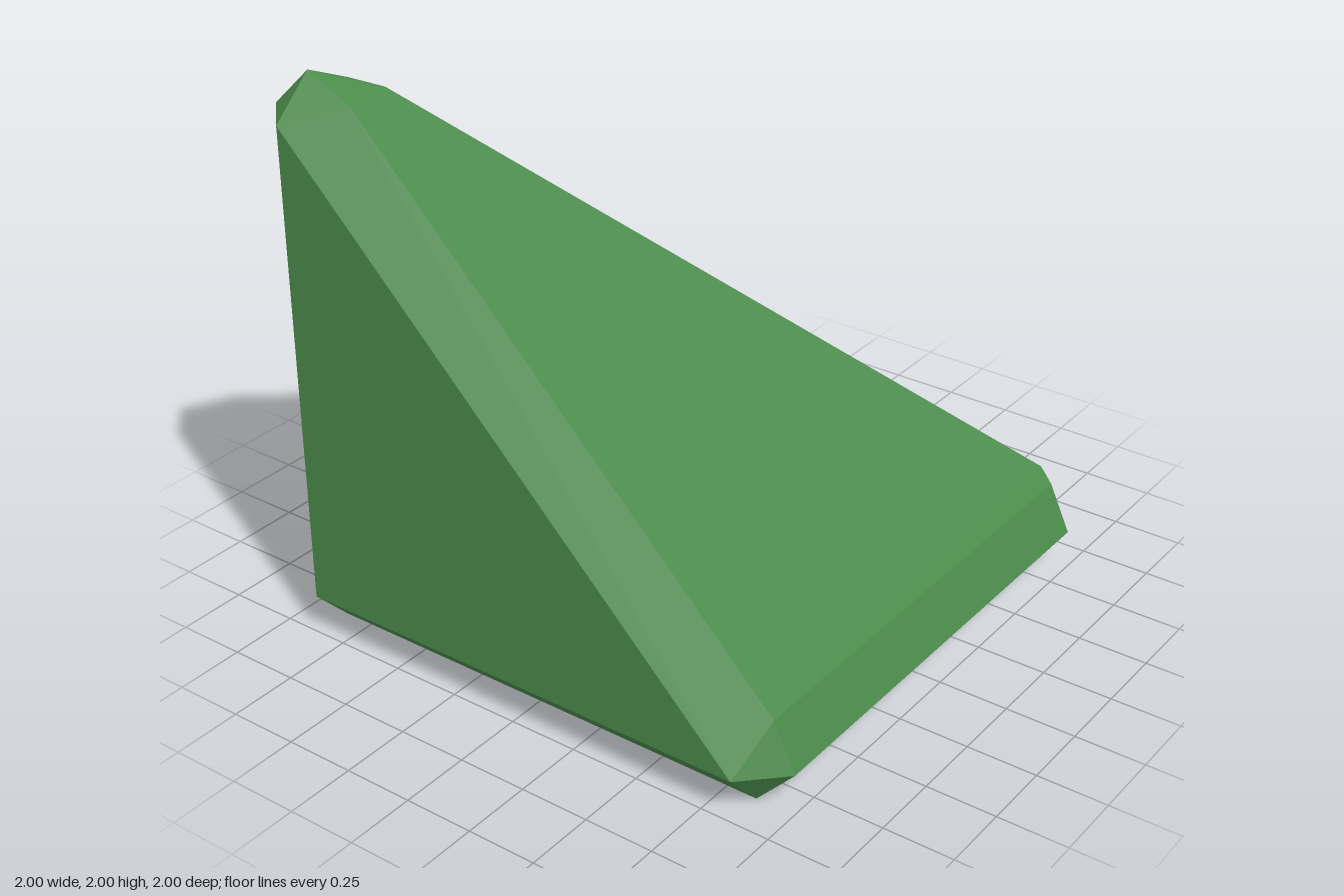
import * as THREE from 'three';
import { ConvexGeometry } from 'three/addons/geometries/ConvexGeometry.js';

export function createModel() {
  const green = new THREE.MeshStandardMaterial({ color: 0x4b8b4b });
  green.name = 'green';

  const c = 0.86; // inset of the chamfered edges
  const points = [];
  const add = (x, y, z) => points.push(new THREE.Vector3(x, y, z));
  // the block is symmetric about the diagonal plane x = z
  const pair = (x, y, z) => { add(x, y, z); add(z, y, x); };

  // base square
  for (const x of [-c, c]) for (const z of [-c, c]) add(x, 0, z);

  // lower rim, above the base chamfer
  pair(-c, 0.145, -1);
  pair(c, 0.15, -1);
  pair(-c, 0.15, 1);
  pair(c, 0.15, 1);

  // lower edges of the two sloping faces
  pair(-c, 0.32, 0.92);
  pair(c, 0.32, 0.92);

  // ends of the diagonal ridge
  add(0.87, 0.37, 0.87);
  add(-0.69, 1.93, -0.69);

  // blunted peak
  pair(-c, 1.92, -0.68);
  pair(-c, 1.86, -1);
  add(-0.855, 2, -0.855);

  const block = new THREE.Mesh(new ConvexGeometry(points), green);
  block.name = 'cornerSlopeBlock';

  const model = new THREE.Group();
  model.name = 'bevelledCornerSlope';
  model.add(block);
  return model;
}
